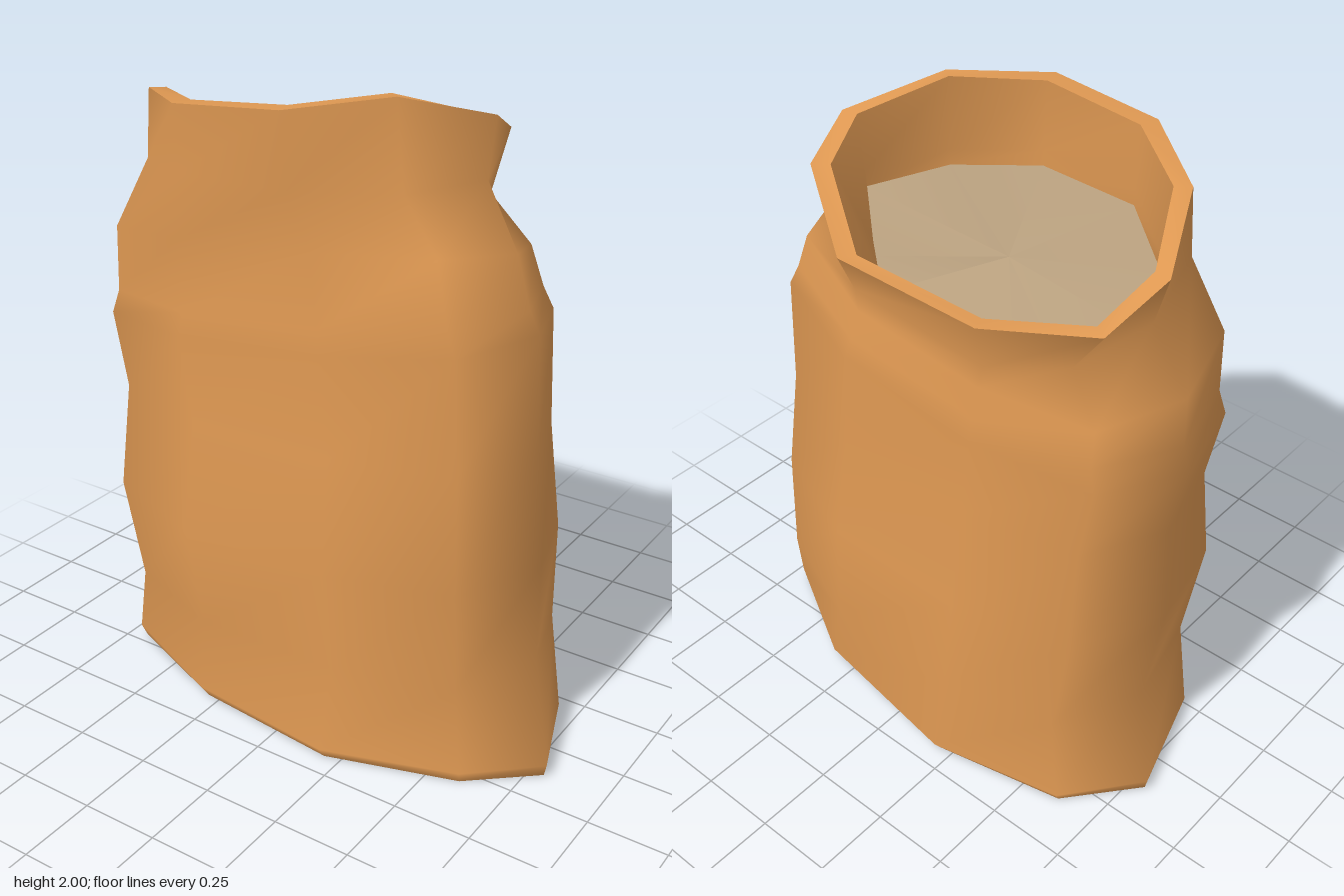
import * as THREE from 'three';

const SIDES = 10;

// Unit outline of the sack body, running from +x through +z
const OUTLINE = [
  [1, 0], [0.83, 0.7], [0.3, 0.97], [-0.39, 1], [-0.9, 0.68],
  [-1, -0.08], [-0.82, -0.79], [-0.3, -1], [0.38, -0.98], [0.9, -0.6],
];

// Footprint on the ground, slightly twisted against the body
const FOOT = [
  [0.81, 0.14], [0.61, 0.32], [0.2, 0.455], [-0.3, 0.4], [-0.7, 0.23],
  [-0.81, -0.13], [-0.63, -0.36], [-0.21, -0.455], [0.33, -0.37], [0.7, -0.16],
];

// Pinched neck and flared mouth: x, y, z
const NECK = [
  [0.42, 1.74, -0.07], [0.32, 1.75, 0.21], [0.06, 1.76, 0.385], [-0.31, 1.75, 0.385], [-0.58, 1.71, 0.2],
  [-0.64, 1.65, -0.05], [-0.53, 1.56, -0.24], [-0.3, 1.5, -0.33], [0.2, 1.52, -0.3], [0.36, 1.66, -0.2],
];
const MOUTH = [
  [0.43, 1.92, -0.09], [0.27, 2, 0.17], [0.05, 1.98, 0.395], [-0.31, 1.95, 0.395], [-0.57, 1.92, 0.19],
  [-0.7, 1.82, -0.08], [-0.63, 1.7, -0.25], [-0.3, 1.64, -0.36], [0.2, 1.65, -0.36], [0.38, 1.84, -0.27],
];

// Inside of the neck, where the cloth folds in at the back
const THROAT = [
  [0.37, 1.74, -0.07], [0.25, 1.76, 0.16], [0.04, 1.76, 0.335], [-0.29, 1.75, 0.335], [-0.52, 1.71, 0.15],
  [-0.6, 1.65, -0.05], [-0.43, 1.56, -0.18], [-0.3, 1.51, -0.2], [0.2, 1.51, -0.2], [0.25, 1.6, -0.17],
];

// Body rings: left and right x, back and front z, height, tilt along x and z
const BODY = [
  [-0.70, 0.685, -0.41, 0.40, 0.30, 0, 0],
  [-0.745, 0.695, -0.40, 0.435, 0.64, 0, 0],
  [-0.73, 0.66, -0.355, 0.375, 0.98, 0.01, 0],
  [-0.775, 0.645, -0.36, 0.38, 1.28, 0.075, 0],
  [-0.75, 0.61, -0.345, 0.365, 1.35, 0.07, 0],
  [-0.745, 0.565, -0.335, 0.355, 1.51, 0.065, 0.06],
];

const bodyRing = ([x0, x1, z0, z1, y, tiltX, tiltZ]) => OUTLINE.map(([u, v]) => [
  (x0 + x1) / 2 + u * (x1 - x0) / 2,
  y + u * tiltX + v * tiltZ,
  (z0 + z1) / 2 + v * (z1 - z0) / 2,
]);

const footRing = (y, sx, sz) => FOOT.map(([x, z]) => [x * sx, y, z * sz]);

function centre(ring) {
  return [0, 1, 2].map((k) => ring.reduce((sum, p) => sum + p[k], 0) / SIDES);
}

// Shrinks a ring by the cloth thickness
function inset(ring) {
  const c = centre(ring);
  return ring.map(([x, y, z]) => [c[0] + (x - c[0]) * 0.91, y, c[2] + (z - c[2]) * 0.86]);
}

const collapse = (ring) => ring.map(() => centre(ring));

// Skins a list of rings with smooth normals
function loft(name, rings, material) {
  const index = [];
  for (let r = 0; r < rings.length - 1; r++) {
    for (let i = 0; i < SIDES; i++) {
      const a = r * SIDES + i;
      const b = r * SIDES + (i + 1) % SIDES;
      index.push(a, a + SIDES, b, b, a + SIDES, b + SIDES);
    }
  }
  const geometry = new THREE.BufferGeometry();
  geometry.setAttribute('position', new THREE.Float32BufferAttribute(rings.flat(2), 3));
  geometry.setIndex(index);
  geometry.computeVertexNormals();
  const mesh = new THREE.Mesh(geometry, material);
  mesh.name = name;
  return mesh;
}

export function createModel() {
  const cloth = new THREE.MeshStandardMaterial({ color: 0xde9852 });
  const grain = new THREE.MeshStandardMaterial({ color: 0xb59d7c });

  const base = footRing(0, 0.985, 0.93);
  const innerMouth = inset(MOUTH);
  const pileEdge = THROAT.map(([x, y, z]) => [x, y - 0.05, z]);

  const sack = new THREE.Group();
  sack.name = 'sack';
  sack.add(
    loft('sackBody', [base, footRing(0.045, 1, 1), ...BODY.map(bodyRing), NECK, MOUTH], cloth),
    loft('mouthRim', [MOUTH, innerMouth], cloth),
    loft('mouthLining', [innerMouth, THROAT, pileEdge], cloth),
    loft('contents', [pileEdge, collapse(pileEdge)], grain),
    loft('sackBottom', [collapse(base), base], cloth),
  );
  return sack;
}
